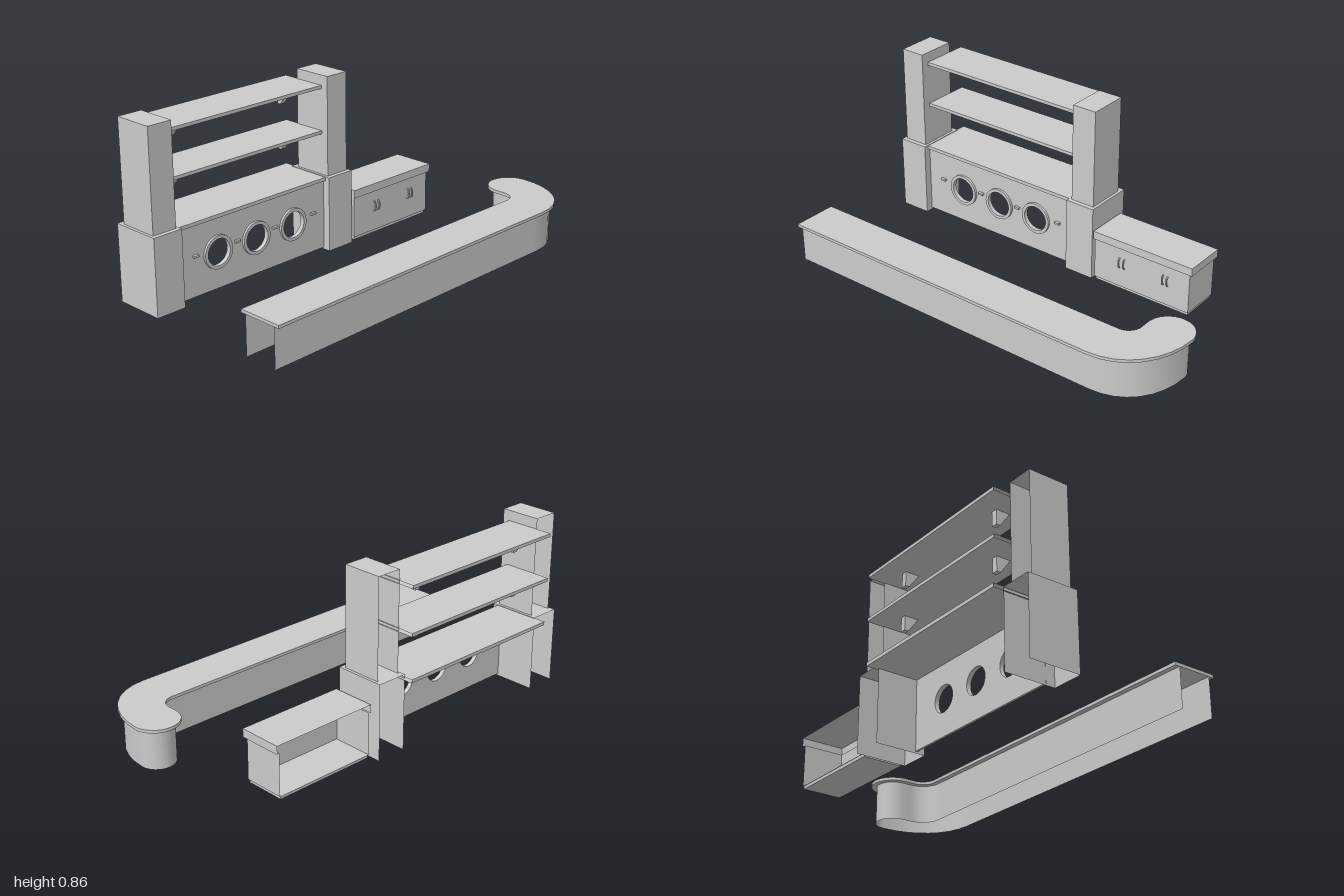
import * as THREE from 'three';

const material = new THREE.MeshStandardMaterial({ color: 0xcccccc, side: THREE.DoubleSide });

// Box from min/max ranges; "omit" lists faces left open (0 +x, 1 -x, 2 +y, 3 -y, 4 +z, 5 -z)
function box(name, [x0, x1], [y0, y1], [z0, z1], omit = []) {
  const g = new THREE.BoxGeometry(x1 - x0, y1 - y0, z1 - z0);
  g.translate((x0 + x1) / 2, (y0 + y1) / 2, (z0 + z1) / 2);
  const index = Array.from(g.index.array).filter((_, i) => !omit.includes(Math.floor(i / 6)));
  g.setIndex(index);
  g.clearGroups();
  return mesh(name, g);
}

function mesh(name, geometry) {
  const m = new THREE.Mesh(geometry, material);
  m.name = name;
  return m;
}

// Plan of the hooked counter, y of the shape being z; open at its -x end
function counterPlan(inset) {
  const s = new THREE.Shape();
  const r = 0.11 - inset;
  s.moveTo(-0.99, 0.525 - inset);
  s.lineTo(0.68, 0.525 - inset);
  s.lineTo(0.7, 0.525 - inset);
  s.bezierCurveTo(0.88 - inset / 2, 0.525 - inset, 1 - inset, 0.37, 1 - inset, 0.185);
  s.absarc(0.89, 0.185, r, 0, -Math.PI, true);
  s.lineTo(0.78 + inset, 0.235);
  s.absarc(0.71, 0.235, 0.07 + inset, 0, Math.PI / 2, false);
  s.lineTo(0.69, 0.305 + inset);
  s.lineTo(-0.99, 0.305 + inset);
  return s;
}

// Thin upright wall following a plan line
function wall(points, y0, y1) {
  const pos = [], index = [];
  points.forEach((p, i) => {
    pos.push(p.x, y0, p.y, p.x, y1, p.y);
    if (i > 0) {
      const a = 2 * (i - 1);
      index.push(a, a + 2, a + 1, a + 1, a + 2, a + 3);
    }
  });
  const g = new THREE.BufferGeometry();
  g.setAttribute('position', new THREE.Float32BufferAttribute(pos, 3));
  g.setIndex(index);
  g.computeVertexNormals();
  return g;
}

function frontCounter() {
  const group = new THREE.Group();
  group.name = 'frontCounter';
  const top = new THREE.ExtrudeGeometry(counterPlan(0), { depth: 0.015, bevelEnabled: false, curveSegments: 8 });
  top.rotateX(Math.PI / 2).translate(0, 0.215, 0);
  group.add(mesh('counterTop', top));
  group.add(mesh('counterWall', wall(counterPlan(0.026).getPoints(8), 0.01, 0.2)));
  return group;
}

function backBar() {
  const group = new THREE.Group();
  group.name = 'backBar';

  // Pillars, hollow and open to the back
  for (const x of [-0.925, 0.112]) {
    group.add(box('pedestal', [x - 0.076, x + 0.076], [0, 0.37], [-0.475, -0.225], [3, 5]));
    group.add(box('column', [x - 0.062, x + 0.062], [0.37, 0.855], [-0.447, -0.247], [3, 5]));
  }

  // Front panel with three round openings
  const panel = new THREE.Shape();
  panel.moveTo(-0.85, 0.01).lineTo(0.037, 0.01).lineTo(0.037, 0.35).lineTo(-0.85, 0.35);
  const holes = [-0.625, -0.398, -0.17];
  for (const x of holes) {
    panel.holes.push(new THREE.Path().absarc(x, 0.187, 0.064, 0, Math.PI * 2, true));
    const ring = new THREE.Shape().absarc(x, 0.187, 0.08, 0, Math.PI * 2, false);
    ring.holes.push(new THREE.Path().absarc(x, 0.187, 0.064, 0, Math.PI * 2, true));
    const g = new THREE.ExtrudeGeometry(ring, { depth: 0.012, bevelEnabled: false, curveSegments: 16 });
    group.add(mesh('openingRing', g.translate(0, 0, -0.262)));
  }
  const panelGeometry = new THREE.ExtrudeGeometry(panel, { depth: 0.01, bevelEnabled: false, curveSegments: 16 });
  group.add(mesh('frontPanel', panelGeometry.translate(0, 0, -0.272)));

  // Small pulls between the openings
  for (const x of [-0.755, -0.512, -0.284, -0.04]) {
    group.add(box('panelPull', [x - 0.014, x + 0.014], [0.2, 0.21], [-0.262, -0.248]));
  }

  // Worktop and shelves, their ends hidden against the pillars
  const ends = [0, 1];
  group.add(box('worktop', [-0.855, 0.05], [0.35, 0.367], [-0.53, -0.25], ends));
  for (const y of [0.57, 0.79]) {
    group.add(box('shelf', [-0.86, 0.055], [y, y + 0.016], [-0.53, -0.285], ends));
    for (const x of [-0.735, -0.08]) {
      const side = new THREE.Shape();
      side.moveTo(0.36, y).lineTo(0.43, y).lineTo(0.43, y - 0.07).lineTo(0.41, y - 0.07);
      const g = new THREE.ExtrudeGeometry(side, { depth: 0.028, bevelEnabled: false });
      group.add(mesh('shelfBracket', g.rotateY(Math.PI / 2).translate(x - 0.014, 0, 0)));
    }
  }
  return group;
}

function sideCabinet() {
  const group = new THREE.Group();
  group.name = 'sideCabinet';
  group.add(box('cabinetTop', [0.2, 0.74], [0.225, 0.265], [-0.433, -0.217], [3, 5]));
  group.add(box('cabinetBody', [0.205, 0.725], [0.02, 0.225], [-0.428, -0.226], [2, 5]));
  group.add(box('cabinetPlinth', [0.21, 0.72], [0.005, 0.02], [-0.425, -0.232]));

  // Paired door handles
  for (const x of [0.346, 0.372, 0.586, 0.61]) {
    const path = new THREE.CatmullRomCurve3([
      new THREE.Vector3(x, 0.12, -0.227), new THREE.Vector3(x, 0.13, -0.216),
      new THREE.Vector3(x, 0.16, -0.216), new THREE.Vector3(x, 0.17, -0.227),
    ]);
    group.add(mesh('doorHandle', new THREE.TubeGeometry(path, 10, 0.004, 6)));
  }
  return group;
}

export function createModel() {
  const model = new THREE.Group();
  model.name = 'barCounterSet';
  model.add(frontCounter(), backBar(), sideCabinet());
  return model;
}
